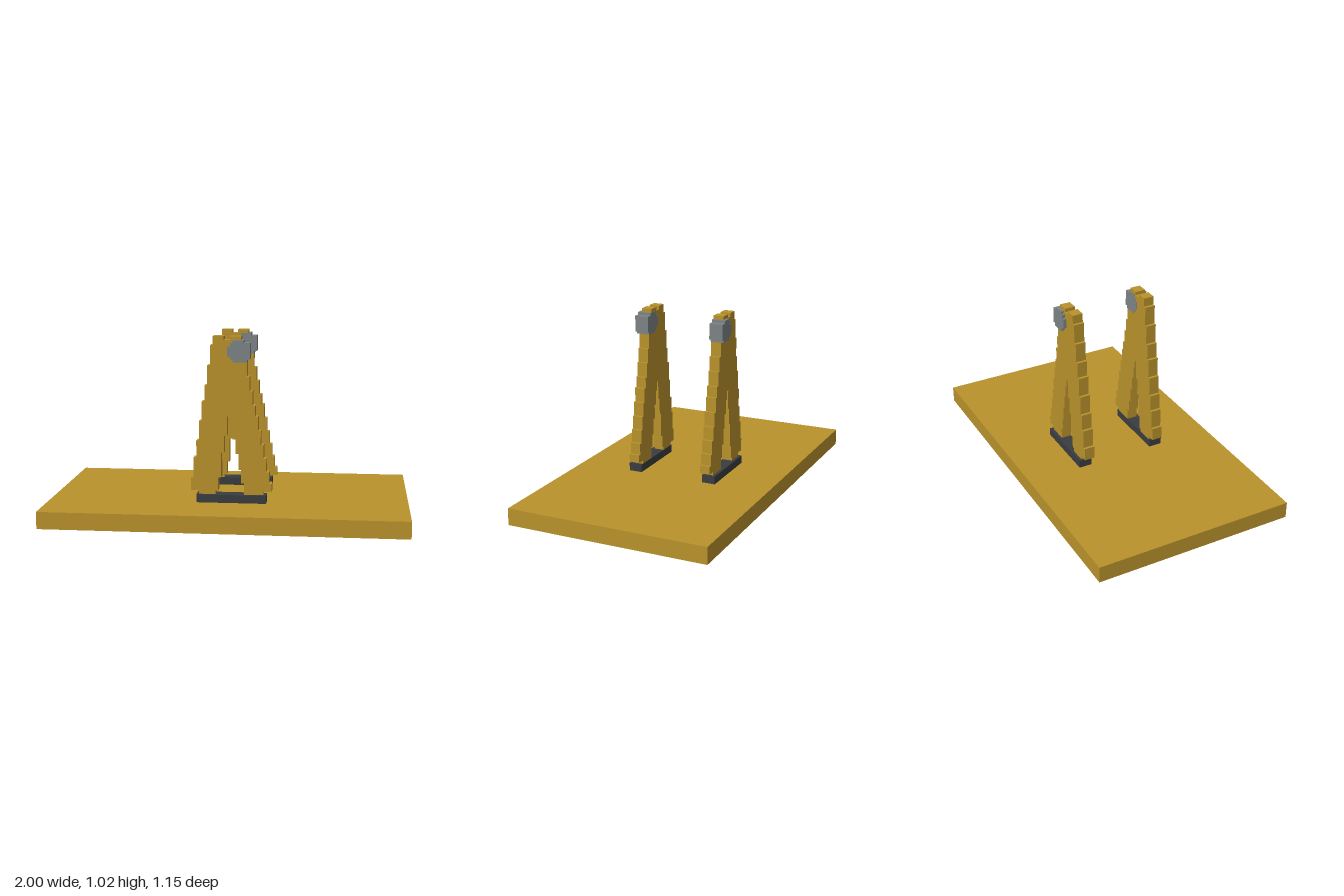
import * as THREE from 'three';

const mat = (name, color) => {
  const m = new THREE.MeshStandardMaterial({ color });
  m.name = name;
  return m;
};

// Walks up a staircase: each step is [x, top], starting from y = start.
function stairs(start, steps) {
  const pts = [];
  let y = start;
  for (const [x, top] of steps) {
    pts.push([x, y], [x, top]);
    y = top;
  }
  return pts;
}

// Extrudes an outline between two z values.
function slab(name, points, z0, z1, material) {
  const shape = new THREE.Shape(points.map(([x, y]) => new THREE.Vector2(x, y)));
  const geo = new THREE.ExtrudeGeometry(shape, { depth: z1 - z0, bevelEnabled: false });
  geo.translate(0, 0, z0);
  const mesh = new THREE.Mesh(geo, material);
  mesh.name = name;
  return mesh;
}

function box(name, x0, x1, y0, y1, z0, z1, material) {
  const mesh = new THREE.Mesh(new THREE.BoxGeometry(x1 - x0, y1 - y0, z1 - z0), material);
  mesh.position.set((x0 + x1) / 2, (y0 + y1) / 2, (z0 + z1) / 2);
  mesh.name = name;
  return mesh;
}

export function createModel() {
  const wood = mat('ochre wood', 0xba922c);
  const steel = mat('grey steel', 0x7d8486);
  const iron = mat('dark iron', 0x3a3d40);

  const model = new THREE.Group();
  model.name = 'trestleStand';
  model.add(box('basePlate', -1, 1, 0, 0.095, -0.577, 0.577, wood));

  // Stepped outer edges of the A-frame, from foot to top
  const rightTops = [0.205, 0.27, 0.345, 0.42, 0.5, 0.58, 0.64, 0.72, 0.8, 0.895, 0.985, 1.02];
  const leftTops = [0.235, 0.345, 0.44, 0.55, 0.66, 0.75, 0.86, 0.97, 1.02];
  const outerRight = stairs(0.16, rightTops.map((t, i) => [0.246 - i * 0.0155, t]));
  const outerLeft = stairs(0.16, leftTops.map((t, i) => [-0.205 + i * 0.0156, t]));
  // Stepped opening between the legs
  const innerLeft = stairs(0.16, [[-0.052, 0.235], [-0.036, 0.375], [-0.02, 0.47], [-0.003, 0.58]]);
  const innerRight = stairs(0.14, [[0.091, 0.205], [0.075, 0.28], [0.06, 0.37], [0.044, 0.45], [0.029, 0.53], [0.014, 0.58]]);

  const frame = [
    [-0.16, 0.16], [-0.16, 0.14], [-0.067, 0.14], [-0.067, 0.16],
    ...innerLeft, ...innerRight.reverse(),
    [0.2, 0.14], [0.2, 0.16],
    ...outerRight,
    [0.014, 1.02], [0.014, 1.0], [-0.02, 1.0], [-0.02, 1.02],
    ...outerLeft.reverse(),
  ];

  // Blocky round axle cap
  const cap = [
    [0.03, 0.88], [0.108, 0.88], [0.108, 0.895], [0.124, 0.895], [0.124, 0.985],
    [0.09, 0.985], [0.09, 1.0], [0.03, 1.0], [0.03, 0.985], [0.015, 0.985],
    [0.015, 0.965], [0, 0.965], [0, 0.91], [0.015, 0.91], [0.015, 0.895], [0.03, 0.895],
  ];

  // One trestle on each side of the centre line
  for (const [side, s] of [['front', 1], ['back', -1]]) {
    const trestle = new THREE.Group();
    trestle.name = side + 'Trestle';
    const span = (a, b) => (s > 0 ? [a, b] : [-b, -a]);
    trestle.add(
      slab('legFrame', frame, ...span(0.19, 0.25), wood),
      slab('axleCap', cap, ...span(0.188, 0.267), steel),
      box('footPlate', -0.172, 0.216, 0.095, 0.14, ...span(0.19, 0.267), iron),
    );
    model.add(trestle);
  }
  return model;
}
